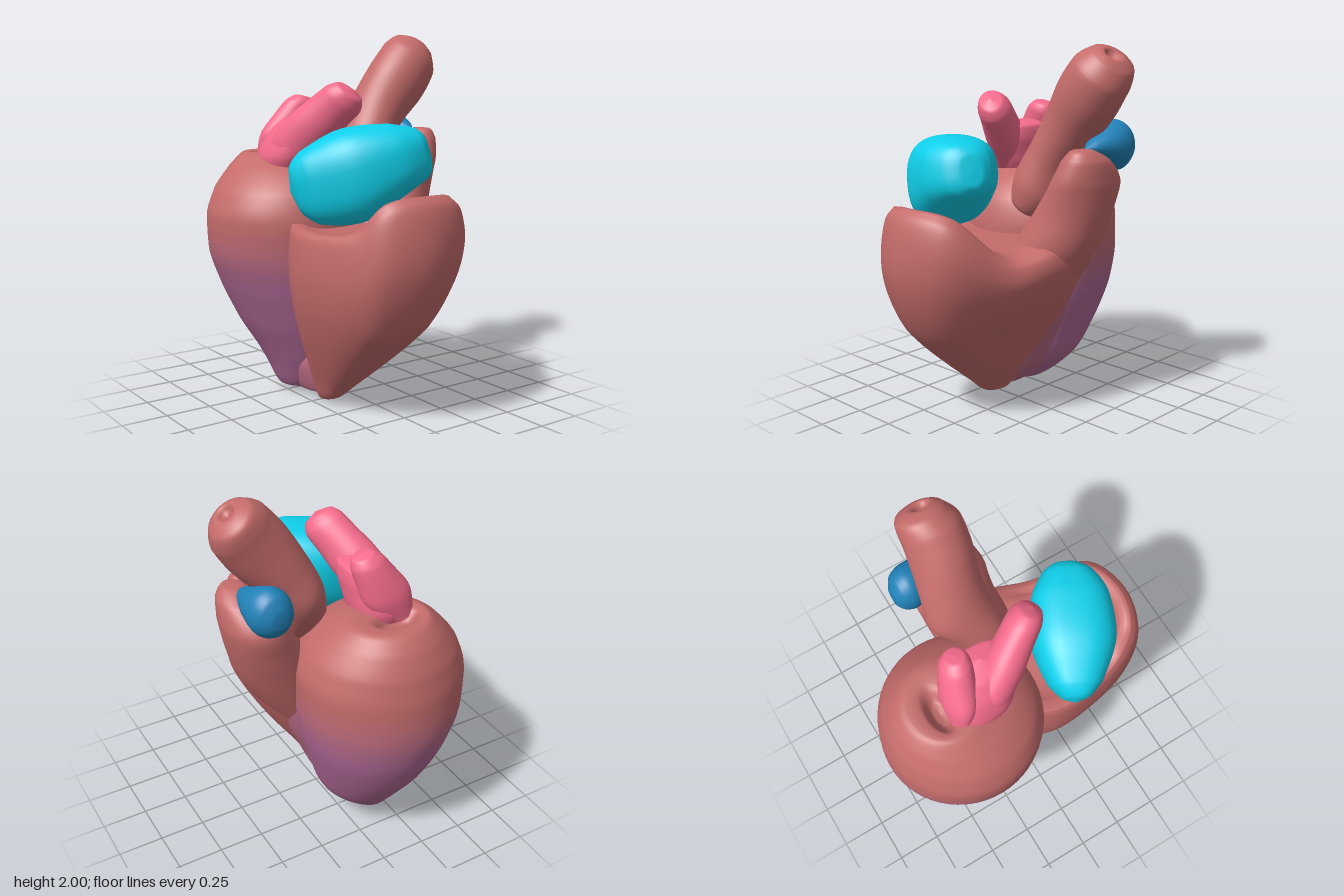
import * as THREE from 'three';

const V = (x, y, z) => new THREE.Vector3(x, y, z);
const mat = (color) => new THREE.MeshStandardMaterial({ color, roughness: 0.7 });
const FLESH = mat(0xc46c6b), ROSE = mat(0xf56c8c), CYAN = mat(0x10cfea), BLUE = mat(0x2182b8);
const BLENDS = [0xae6894, 0xb2698c, 0xb66a82, 0xba6a78, 0xc06b70].map(mat);

// Joins rings of equal length into a smooth skin that faces outwards
function skin(rings) {
  const n = rings[0].length, pos = [], index = [];
  rings.forEach((r) => r.forEach((p) => pos.push(p.x, p.y, p.z)));
  const a = V(), b = V(), c = V();
  let volume = 0;
  const tri = (i, j, k) => {
    index.push(i, j, k);
    a.fromArray(pos, i * 3); b.fromArray(pos, j * 3); c.fromArray(pos, k * 3);
    volume += a.dot(b.cross(c));
  };
  for (let r = 0; r < rings.length - 1; r++) {
    for (let i = 0; i < n; i++) {
      const j = (i + 1) % n, p = r * n, q = p + n;
      tri(p + i, q + i, p + j);
      tri(p + j, q + i, q + j);
    }
  }
  if (volume < 0) {
    for (let i = 0; i < index.length; i += 3) [index[i], index[i + 1]] = [index[i + 1], index[i]];
  }
  const g = new THREE.BufferGeometry();
  g.setAttribute('position', new THREE.Float32BufferAttribute(pos, 3));
  g.setIndex(index);
  g.computeVertexNormals();
  return g;
}

// Sections [x, y, z, radiusA, radiusB], smoothed; axes A and B span every section
function loft(sections, axisA, axisB, { power = 1, steps = 6, segs = 40 } = {}) {
  const path = new THREE.CatmullRomCurve3(sections.map((s) => V(s[0], s[1], s[2])));
  const size = new THREE.CatmullRomCurve3(sections.map((s) => V(s[3], s[4], 0)));
  const A = axisA.clone().normalize(), B = axisB.clone().normalize();
  const bend = (v) => Math.sign(v) * Math.abs(v) ** power;
  const count = (sections.length - 1) * steps, rings = [];
  for (let k = 0; k <= count; k++) {
    const c = path.getPoint(k / count), s = size.getPoint(k / count), ring = [];
    for (let i = 0; i < segs; i++) {
      const t = (i / segs) * Math.PI * 2;
      ring.push(c.clone()
        .addScaledVector(A, Math.max(s.x, 0.0005) * bend(Math.cos(t)))
        .addScaledVector(B, Math.max(s.y, 0.0005) * bend(Math.sin(t))));
    }
    rings.push(ring);
  }
  return skin(rings);
}

// Front chamber: outline with a rim of varying height, a tapering wall and a sunken floor
function frontChamberGeometry() {
  const rim = new THREE.CatmullRomCurve3([
    V(-0.05, 1.2, 0.8), V(0.2, 1.17, 0.72), V(0.35, 0.94, 0.42), V(0.42, 0.98, 0.15),
    V(0.4, 1.04, -0.1), V(0.1, 1.08, -0.22), V(-0.25, 1.04, -0.15), V(-0.44, 1.0, 0.1),
    V(-0.43, 0.99, 0.4), V(-0.37, 1.03, 0.61), V(-0.27, 1.17, 0.74),
  ], true);
  const outline = rim.getPoints(77).slice(0, 77);
  // Wall rows: height, spread of the left and front, spread of the right
  const wall = new THREE.CatmullRomCurve3([
    V(0, 0, 0), V(0.03, 0.14, 0.12), V(0.12, 0.28, 0.24), V(0.27, 0.51, 0.42), V(0.44, 0.75, 0.61),
    V(0.6, 0.92, 0.79), V(0.75, 1, 0.93), V(0.87, 1, 1), V(0.96, 0.965, 0.98), V(1, 0.9, 0.91),
  ]).getPoints(45);
  const rings = wall.map((w) => outline.map((p) => {
    const y = w.x < 0.5 ? w.x : 0.5 + (w.x - 0.5) * (p.y - 0.5) / 0.5;
    const dx = p.x + 0.18;
    return V(-0.18 + dx * (dx > 0 ? w.z : w.y), y, p.z * w.y);
  }));
  // Rounded lip and floor rows: spread, mix from rim height to floor height
  const top = rings[rings.length - 1];
  const lip = new THREE.CatmullRomCurve3([
    V(0.94, 0.02, 0), V(0.87, 0.15, 0), V(0.78, 0.6, 0), V(0.62, 0.95, 0), V(0.3, 1, 0), V(0.001, 1, 0),
  ]).getPoints(25);
  lip.forEach((l) => rings.push(top.map((p) =>
    V(p.x * l.x, p.y + (0.97 - p.y) * l.y, 0.28 + (p.z - 0.28) * l.x))));
  return skin(rings);
}

export function createModel() {
  const model = new THREE.Group();
  const X = V(1, 0, 0), Y = V(0, 1, 0), Z = V(0, 0, 1);
  const add = (name, geometry, material, parent = model) => {
    const mesh = new THREE.Mesh(geometry, material);
    mesh.name = name;
    parent.add(mesh);
  };

  // Back chamber with a dimpled top, tinted in bands towards the tip
  const back = loft([
    [-0.19, 0.015, -0.27, 0, 0], [-0.18, 0.035, -0.27, 0.09, 0.12], [-0.125, 0.2, -0.28, 0.225, 0.26],
    [-0.14, 0.4, -0.32, 0.32, 0.36], [-0.155, 0.6, -0.345, 0.395, 0.425],
    [-0.175, 0.8, -0.355, 0.445, 0.45], [-0.18, 1.0, -0.35, 0.455, 0.445],
    [-0.175, 1.15, -0.355, 0.41, 0.41], [-0.17, 1.27, -0.39, 0.31, 0.32],
    [-0.17, 1.345, -0.45, 0.21, 0.18], [-0.19, 1.34, -0.47, 0.14, 0.08],
    [-0.2, 1.28, -0.47, 0.07, 0.035], [-0.2, 1.27, -0.47, 0, 0],
  ], X, Z, { segs: 56 });
  const row = 56 * 6, firstBlend = 26, rowsPerBlend = 2;
  let start = 0;
  BLENDS.forEach((m, i) => {
    const end = (firstBlend + i * rowsPerBlend) * row;
    back.addGroup(start, end - start, i);
    start = end;
  });
  back.addGroup(start, back.index.count - start, BLENDS.length);
  add('backChamber', back, [...BLENDS, FLESH]);

  add('frontChamber', frontChamberGeometry(), FLESH);

  // Bridge that fills the groove between the two chambers
  add('chamberBridge', loft([
    [-0.18, 0.02, -0.12, 0, 0], [-0.17, 0.04, -0.12, 0.06, 0.13], [-0.1, 0.2, -0.11, 0.17, 0.19],
    [-0.03, 0.4, -0.1, 0.19, 0.2], [0.04, 0.6, -0.08, 0.21, 0.2], [0.09, 0.8, -0.07, 0.21, 0.18],
    [0.1, 0.95, -0.06, 0.15, 0.13], [0.1, 1, -0.06, 0, 0],
  ], X, Z), BLENDS[2]);

  // Outflow trunk rising from the front chamber
  add('outflowTrunk', loft([
    [0.0, 0.45, -0.04, 0.15, 0.13], [0.16, 0.72, -0.02, 0.19, 0.19], [0.26, 0.94, -0.02, 0.225, 0.22],
    [0.355, 1.14, -0.05, 0.195, 0.215], [0.425, 1.3, -0.055, 0.155, 0.215],
    [0.46, 1.42, -0.01, 0.11, 0.14], [0.47, 1.475, 0.03, 0.05, 0.06], [0.47, 1.48, 0.03, 0, 0],
  ], X, Z), FLESH);

  // Main artery with a small dimple at its end
  add('mainArtery', loft([
    [0.03, 1.1, -0.02, 0, 0], [0.05, 1.13, -0.02, 0.1, 0.1], [0.11, 1.25, -0.05, 0.145, 0.15],
    [0.18, 1.42, -0.12, 0.14, 0.18], [0.28, 1.58, -0.12, 0.155, 0.165],
    [0.4, 1.74, -0.1, 0.175, 0.165], [0.485, 1.855, -0.1, 0.165, 0.16],
    [0.535, 1.925, -0.12, 0.12, 0.125], [0.55, 1.95, -0.11, 0.055, 0.06],
    [0.535, 1.93, -0.1, 0.025, 0.025], [0.53, 1.92, -0.1, 0, 0],
  ], V(0.8, -0.6, 0), Z), FLESH);

  // Front upper chamber, a squarish slanted pouch
  add('frontPouch', loft([
    [-0.485, 1.2, 0.17, 0, 0], [-0.465, 1.205, 0.185, 0.12, 0.07], [-0.4, 1.215, 0.22, 0.19, 0.14],
    [-0.2, 1.28, 0.33, 0.24, 0.225], [0, 1.36, 0.43, 0.18, 0.2],
    [0.11, 1.385, 0.48, 0.13, 0.125], [0.145, 1.39, 0.49, 0.08, 0.06], [0.15, 1.39, 0.49, 0, 0],
  ], V(-0.22, 0.96, -0.12), V(-0.45, 0, 0.89), { power: 0.78 }), CYAN);

  // Rear veins: a broad body and two arms
  const veins = new THREE.Group();
  veins.name = 'rearVeins';
  model.add(veins);
  add('veinBody', loft([
    [-0.23, 1.2, -0.28, 0, 0], [-0.23, 1.22, -0.28, 0.1, 0.12], [-0.215, 1.34, -0.26, 0.16, 0.185],
    [-0.185, 1.46, -0.22, 0.145, 0.195], [-0.15, 1.54, -0.2, 0.1, 0.16], [-0.14, 1.57, -0.19, 0, 0],
  ], X, Z, { power: 0.85 }), ROSE, veins);
  add('frontVein', loft([
    [-0.29, 1.26, -0.24, 0.07, 0.08], [-0.25, 1.38, -0.18, 0.11, 0.12],
    [-0.19, 1.49, -0.08, 0.12, 0.12], [-0.14, 1.58, 0.01, 0.11, 0.11],
    [-0.1, 1.65, 0.085, 0.105, 0.1], [-0.085, 1.69, 0.125, 0.075, 0.07], [-0.08, 1.705, 0.14, 0, 0],
  ], V(1, -0.4, 0), V(0, -0.6, 0.8)), ROSE, veins);
  add('backVein', loft([
    [-0.27, 1.3, -0.39, 0.08, 0.06], [-0.2, 1.43, -0.36, 0.13, 0.09],
    [-0.15, 1.53, -0.335, 0.11, 0.09], [-0.11, 1.61, -0.315, 0.09, 0.08],
    [-0.09, 1.65, -0.305, 0.055, 0.05], [-0.088, 1.657, -0.305, 0, 0],
  ], V(1, -0.3, 0), Z), ROSE, veins);

  // Side pouch, a wedge that swells towards the back
  add('sidePouch', loft([
    [0.45, 1.47, -0.01, 0, 0], [0.45, 1.475, -0.08, 0.05, 0.04], [0.44, 1.475, -0.2, 0.1, 0.1],
    [0.425, 1.465, -0.29, 0.115, 0.135], [0.42, 1.465, -0.35, 0.095, 0.11],
    [0.415, 1.46, -0.385, 0.045, 0.05], [0.415, 1.46, -0.39, 0, 0],
  ], X, Y), BLUE);

  return model;
}
